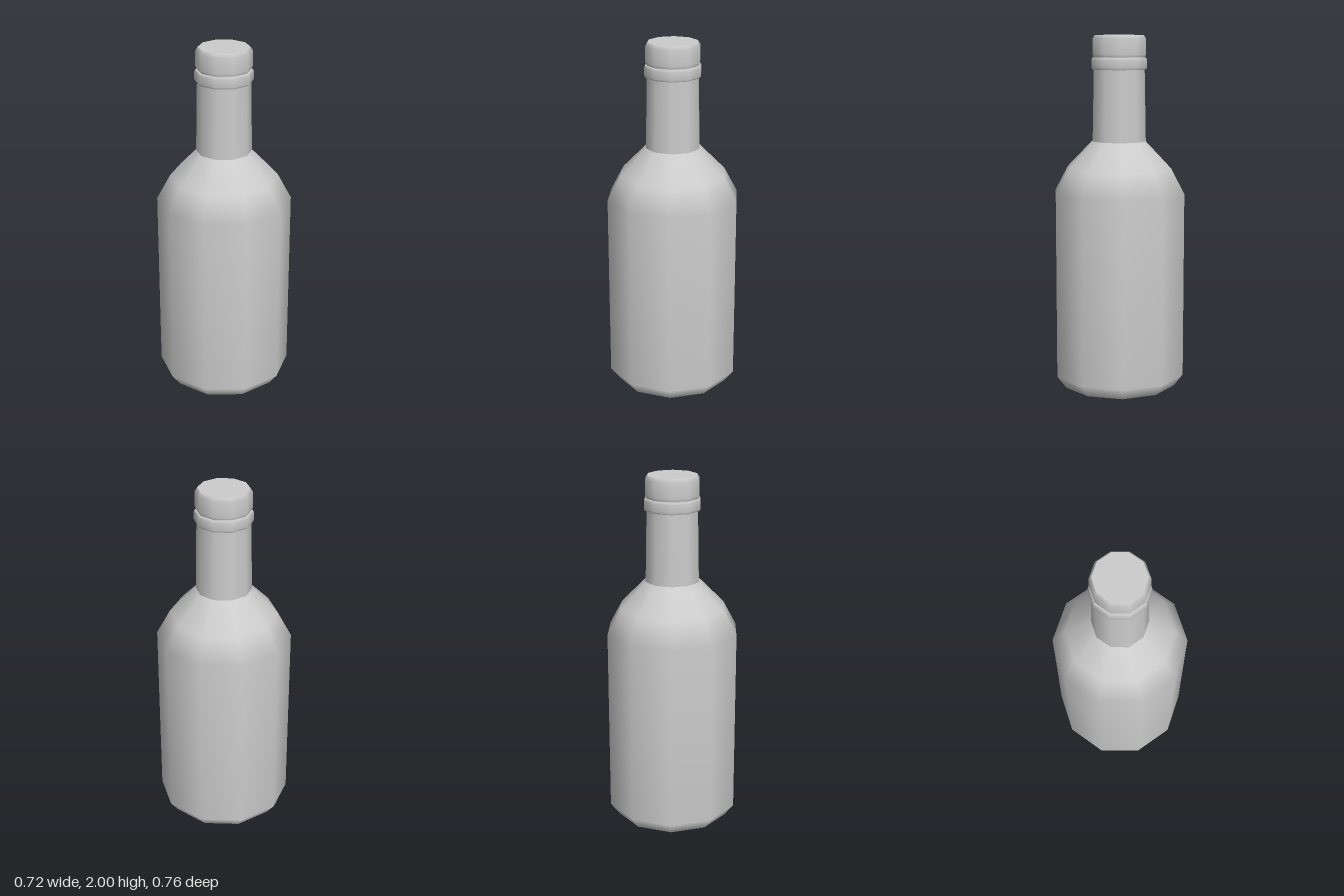
import * as THREE from 'three';

const SIDES = 10;

export function createModel() {
  const model = new THREE.Group();
  model.name = 'bottle';
  const grey = new THREE.MeshStandardMaterial({ color: 0xcccccc });
  grey.name = 'bottle grey';

  // Each section is smooth within itself and creased against its neighbours
  function section(name, profile, parent = model) {
    const points = profile.map(([r, y]) => new THREE.Vector2(r, y));
    const mesh = new THREE.Mesh(new THREE.LatheGeometry(points, SIDES), grey);
    mesh.name = name;
    parent.add(mesh);
  }

  // Body with bevelled foot and rounded shoulder
  section('base', [[0, 0], [0.325, 0]]);
  section('body', [[0.325, 0], [0.378, 0.07], [0.378, 1.12], [0.302, 1.26], [0.155, 1.41]]);

  // Slightly tapered neck
  section('neck', [[0.155, 1.41], [0.147, 1.815], [0.145, 1.885]]);

  // Collar around the mouth
  const collar = new THREE.Group();
  collar.name = 'collar';
  model.add(collar);
  section('collarUnderside', [[0.145, 1.81], [0.155, 1.81]], collar);
  section('collarBand', [[0.155, 1.81], [0.161, 1.822], [0.161, 1.865], [0.155, 1.875]], collar);
  section('collarTop', [[0.155, 1.875], [0.143, 1.875]], collar);

  // Stopper with bevelled rim
  const stopper = new THREE.Group();
  stopper.name = 'stopper';
  model.add(stopper);
  section('stopperUnderside', [[0.14, 1.88], [0.15, 1.88]], stopper);
  section('stopperSide', [[0.15, 1.88], [0.155, 1.895], [0.154, 1.98], [0.141, 2]], stopper);
  section('stopperTop', [[0.141, 2], [0, 2]], stopper);

  return model;
}
